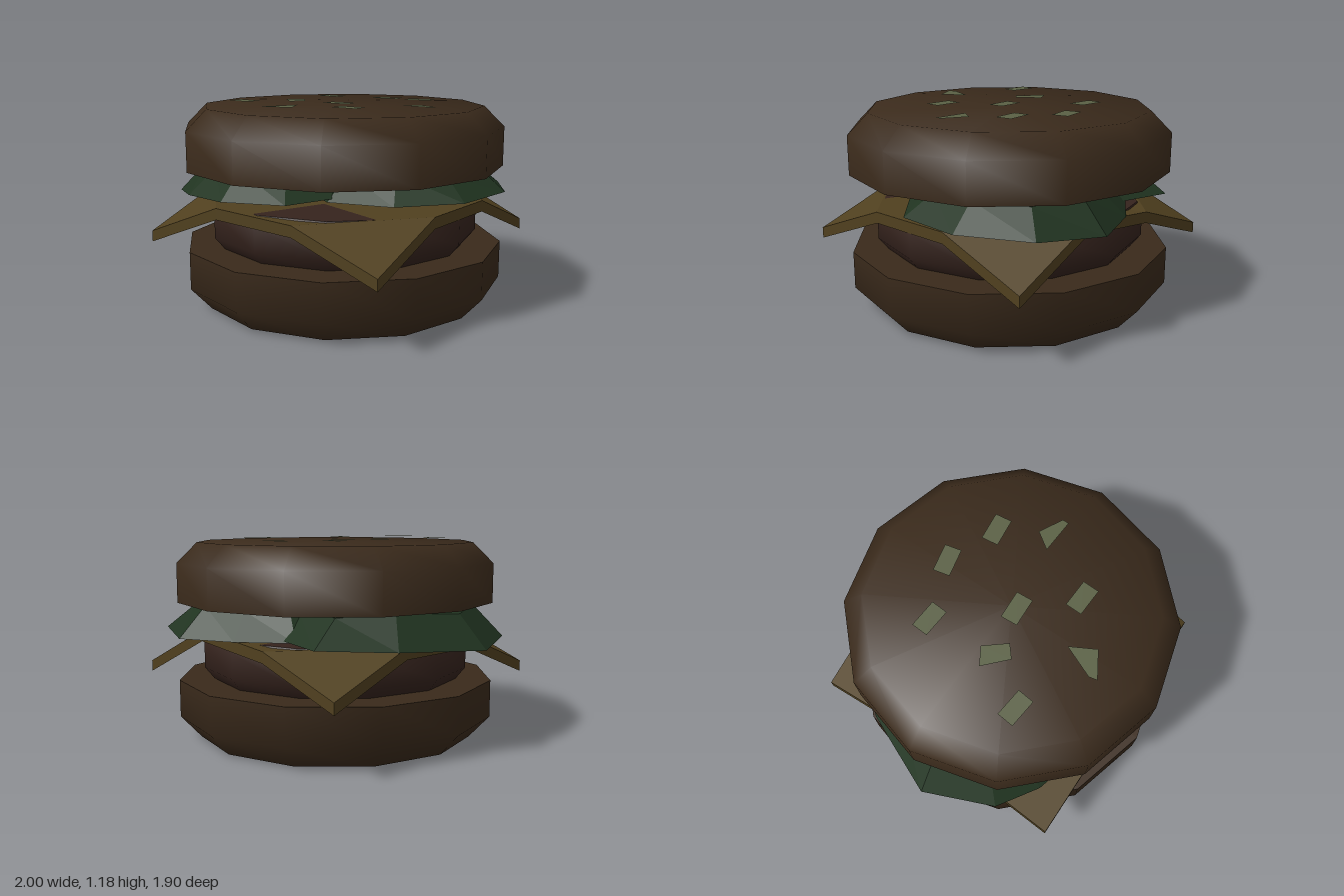
import * as THREE from 'three';
import { toCreasedNormals } from 'three/addons/utils/BufferGeometryUtils.js';

const CX = 0.05; // axis of the stack

const material = (color, options = {}) => {
  const m = new THREE.MeshStandardMaterial(options);
  m.color.set(color);
  return m;
};

// Twelve-sided turned part from [radius, height] pairs
function turned(name, profile, mat) {
  const lathe = new THREE.LatheGeometry(profile.map(([r, y]) => new THREE.Vector2(r, y)), 12);
  const mesh = new THREE.Mesh(toCreasedNormals(lathe, Math.PI / 3), mat);
  mesh.name = name;
  mesh.position.x = CX;
  return mesh;
}

function fromTriangles(name, triangles, mat) {
  const geometry = new THREE.BufferGeometry();
  geometry.setAttribute('position', new THREE.Float32BufferAttribute(triangles.flat(2), 3));
  geometry.computeVertexNormals();
  const mesh = new THREE.Mesh(geometry, mat);
  mesh.name = name;
  return mesh;
}

// Square slice: flat octagon in the middle, four folded-down corners
function cheeseSlice(mat) {
  const half = 0.805, mid = 0.268, top = 0.63, thick = 0.065, drop = 0.205;
  const loop = [];
  for (let k = 0; k < 4; k++) {
    const c = Math.round(Math.cos(k * Math.PI / 2)), s = Math.round(Math.sin(k * Math.PI / 2));
    for (const [x, z, y] of [[half, -half, top - drop], [half, -mid, top], [half, mid, top]]) {
      loop.push([CX - 0.005 + x * c - z * s, y, x * s + z * c]);
    }
  }
  loop[10][1] -= 0.02;
  loop[11][1] += 0.005;
  for (const p of loop) if (p[0] > 0.2 && p[0] < 0.4) p[1] += p[2] < 0 ? 0.035 : -0.02;
  const low = ([x, y, z]) => [x, y - thick, z];
  const centre = [CX, top, 0];
  const tris = [];
  const sheet = (a, b, c) => tris.push([a, c, b], [low(a), low(b), low(c)]);
  for (let i = 0; i < 12; i++) {
    const a = loop[i], b = loop[(i + 1) % 12];
    tris.push([a, b, low(a)], [b, low(b), low(a)]);
    if (i % 3 === 0) {
      const prev = loop[(i + 11) % 12];
      sheet(prev, a, b);
      sheet(centre, prev, b);
    } else if (i % 3 === 1) sheet(centre, a, b);
  }
  return fromTriangles('cheeseSlice', tris, mat);
}

// Drooping leaf: raised inner ring and a skirt out to an uneven rim of [x, y, z]
function lettuceLeaf(name, rim, centre, mat) {
  const inner = rim.map(([x, , z], i) => [
    centre[0] + (x - centre[0]) * 0.74,
    0.785 + (i % 2) * 0.018,
    centre[2] + (z - centre[2]) * 0.74,
  ]);
  const tris = [];
  rim.forEach((a, i) => {
    const j = (i + 1) % rim.length;
    tris.push([a, rim[j], inner[i]], [rim[j], inner[j], inner[i]], [inner[i], inner[j], centre]);
  });
  return fromTriangles(name, tris, mat);
}

// Corners of a turned rectangle, as [x, z]
function rectangle(x, z, angle) {
  const c = Math.cos(angle), s = Math.sin(angle);
  return [[-1, -1], [1, -1], [1, 1], [-1, 1]].map(([u, v]) =>
    [x + u * 0.085 * c - v * 0.05 * s, z + u * 0.085 * s + v * 0.05 * c]);
}

export function createModel() {
  const model = new THREE.Group();
  model.name = 'burger';
  const bun = material(0x3a2a1b);
  const patty = material(0x35231d);
  const cheese = material(0x50401f, { flatShading: true });
  const lettuce = material(0x203320, { flatShading: true, side: THREE.DoubleSide });
  const seed = material(0x5a6044, { side: THREE.DoubleSide });

  // Buns and patty
  model.add(
    turned('bottomBun', [[0, 0], [0.83, 0], [0.95, 0.13], [0.95, 0.35], [0, 0.35]], bun),
    turned('patty', [[0, 0.345], [0.74, 0.345], [0.8, 0.42], [0.8, 0.57], [0.77, 0.622], [0, 0.622]], patty),
    turned('topBun', [[0, 0.81], [0.95, 0.81], [0.95, 1.04], [0.83, 1.16], [0, 1.16]], bun),
    cheeseSlice(cheese),
  );

  // Two overlapping leaves, rims listed from the front round by the left
  model.add(
    lettuceLeaf('rightLettuceLeaf', [
      [-1, 0.6, 0.1], [-0.83, 0.62, 0.5], [-0.6, 0.635, 0.65], [-0.25, 0.65, 0.74], [0.1, 0.65, 0.6],
      [0.25, 0.66, 0.25], [0.22, 0.66, -0.25], [0, 0.65, -0.6], [-0.54, 0.64, -0.73], [-0.8, 0.62, -0.38],
    ], [-0.35, 0.808, 0.03], lettuce),
    lettuceLeaf('leftLettuceLeaf', [
      [-0.36, 0.637, -0.3], [-0.2, 0.64, 0.1], [0.2, 0.64, 0.35], [0.6, 0.65, 0.28], [0.88, 0.66, 0],
      [0.92, 0.665, -0.42], [0.7, 0.65, -0.78], [0.34, 0.63, -0.94], [0, 0.635, -0.82], [-0.28, 0.637, -0.62],
    ], [0.28, 0.808, -0.29], lettuce),
  );

  // Seeds: thin flakes on the crown
  const flakes = [
    rectangle(0.07, -0.45, -0.22), rectangle(-0.27, -0.32, 0.06), rectangle(0.38, -0.33, -0.12),
    rectangle(0.05, 0.035, -0.06), rectangle(0.305, 0.295, 0.03), rectangle(-0.42, 0.35, 0.1),
    [[0.44, -0.03], [0.51, -0.13], [0.65, -0.06], [0.65, -0.02]],
    [[-0.34, 0.06], [-0.24, 0], [-0.14, 0.12], [-0.21, 0.18]],
    [[0.02, 0.385], [0.1, 0.53], [-0.05, 0.62], [-0.06, 0.57]],
  ];
  const seeds = new THREE.Group();
  seeds.name = 'seeds';
  flakes.forEach((corners, i) => {
    const shape = new THREE.Shape(corners.map(([x, z]) => new THREE.Vector2(x, -z)));
    const flake = new THREE.Mesh(new THREE.ShapeGeometry(shape).rotateX(-Math.PI / 2), seed);
    flake.name = 'seed';
    flake.position.y = 1.17 + (i % 3) * 0.006;
    seeds.add(flake);
  });
  model.add(seeds);
  return model;
}
